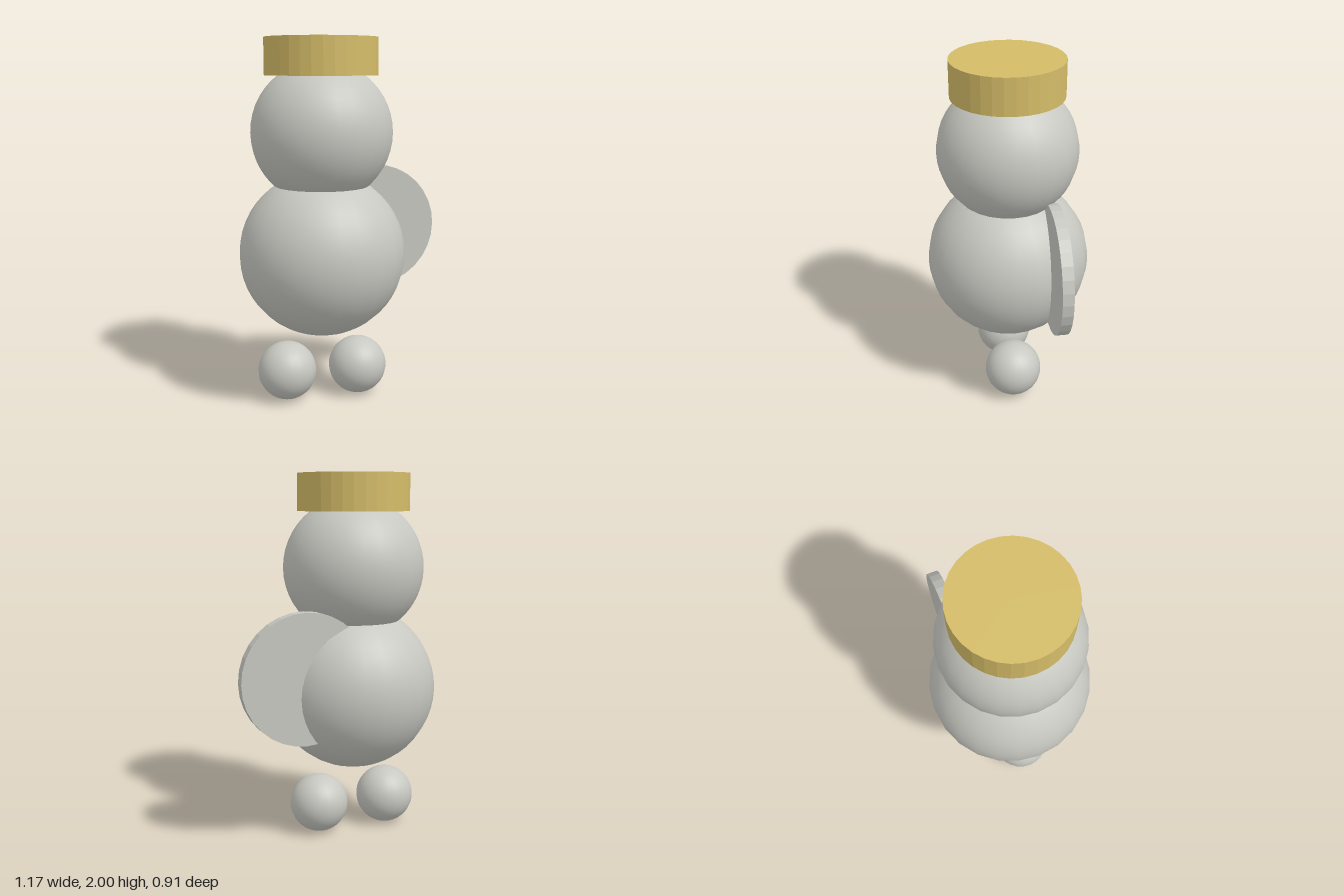
import * as THREE from 'three';

const stone = new THREE.MeshStandardMaterial({ color: 0xc8c8c2 });
stone.name = 'pale grey';
const disc = stone.clone();
disc.name = 'pale grey faceted';
disc.flatShading = true;
const gold = new THREE.MeshStandardMaterial({ color: 0xd4bc68, flatShading: true });
gold.name = 'gold';

export function createModel() {
  const model = new THREE.Group();
  const axis = -0.13; // x of the body's centre line

  const add = (name, geometry, material, x, y, z = 0) => {
    const mesh = new THREE.Mesh(geometry, material);
    mesh.name = name;
    mesh.position.set(x, y, z);
    model.add(mesh);
    return mesh;
  };
  const ball = (name, r, x, y) =>
    add(name, new THREE.SphereGeometry(r, 24, 24), stone, x, y);

  // Stacked body and head
  ball('body', 0.457, axis, 0.83);
  ball('head', 0.386, axis, 1.495);

  // Feet, floating just below the body
  for (const side of [-1, 1]) {
    ball(side > 0 ? 'leftFoot' : 'rightFoot', 0.163, axis + side * 0.204, 0.166);
  }

  // Flat round tail, set into the back of the body
  const tail = add('tail', new THREE.CylinderGeometry(0.356, 0.356, 0.061, 32), disc, 0.227, 0.934, -0.206);
  tail.rotation.x = Math.PI / 2;

  // Cylindrical hat
  add('hat', new THREE.CylinderGeometry(0.306, 0.306, 0.2, 32), gold, axis, 1.9);

  return model;
}
